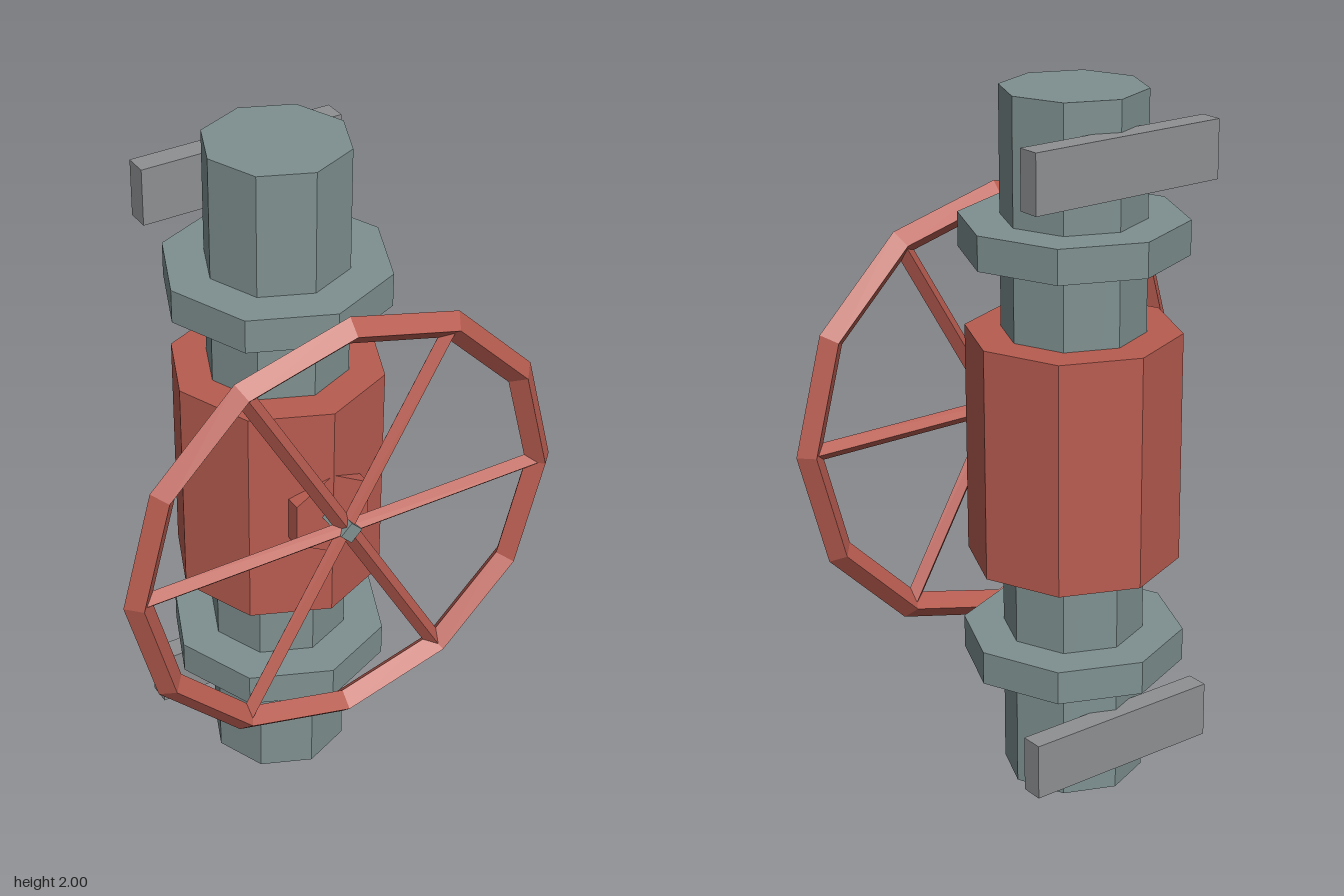
import * as THREE from 'three';

export function createModel() {
  const model = new THREE.Group();
  model.name = 'valve';
  const paint = (color) => new THREE.MeshStandardMaterial({ color, flatShading: true });
  const steel = paint(0x7f9090), red = paint(0xb85c50), grey = paint(0x8e9092);

  const pipeZ = -0.045, wheelZ = 0.32;

  function add(name, geometry, material, x, y, z, parent = model) {
    const mesh = new THREE.Mesh(geometry, material);
    mesh.name = name;
    mesh.position.set(x, y, z);
    parent.add(mesh);
    return mesh;
  }

  // Vertical pipe with the thicker valve body around its middle
  add('pipe', new THREE.CylinderGeometry(0.2, 0.2, 2, 8), steel, 0, 1, pipeZ);
  add('valveBody', new THREE.CylinderGeometry(0.3, 0.3, 0.665, 8), red, 0, 1, pipeZ);

  // Flanges and wall brackets, mirrored above and below the body
  for (const [side, s] of [['upper', 1], ['lower', -1]]) {
    add(side + 'Flange', new THREE.CylinderGeometry(0.315, 0.315, 0.097, 8), steel, 0, 1 + s * 0.602, pipeZ);
    add(side + 'Bracket', new THREE.BoxGeometry(0.6, 0.163, 0.065), grey, 0, 1 + s * 0.833, -0.248);
  }

  // Hexagonal boss and the square stem, both pointing forward
  const boss = add('boss', new THREE.CylinderGeometry(0.13, 0.13, 0.15, 6), red, 0, 1, 0.177);
  boss.rotation.x = Math.PI / 2;
  const stem = add('stem', new THREE.CylinderGeometry(0.033, 0.033, 0.25, 4), steel, 0, 1, 0.225);
  stem.rotation.x = Math.PI / 2;

  // Handwheel: twelve-sided rim with three bars crossing at the hub
  const wheel = new THREE.Group();
  wheel.name = 'handwheel';
  wheel.position.set(0, 1, wheelZ);
  model.add(wheel);
  add('rim', new THREE.TorusGeometry(0.63, 0.04, 4, 12), red, 0, 0, 0, wheel);
  for (let i = 0; i < 3; i++) {
    const bar = add('spokeBar', new THREE.CylinderGeometry(0.025, 0.025, 1.25, 4), red, 0, 0, 0, wheel);
    bar.rotation.z = Math.PI / 2 + i * Math.PI / 3;
  }

  return model;
}
